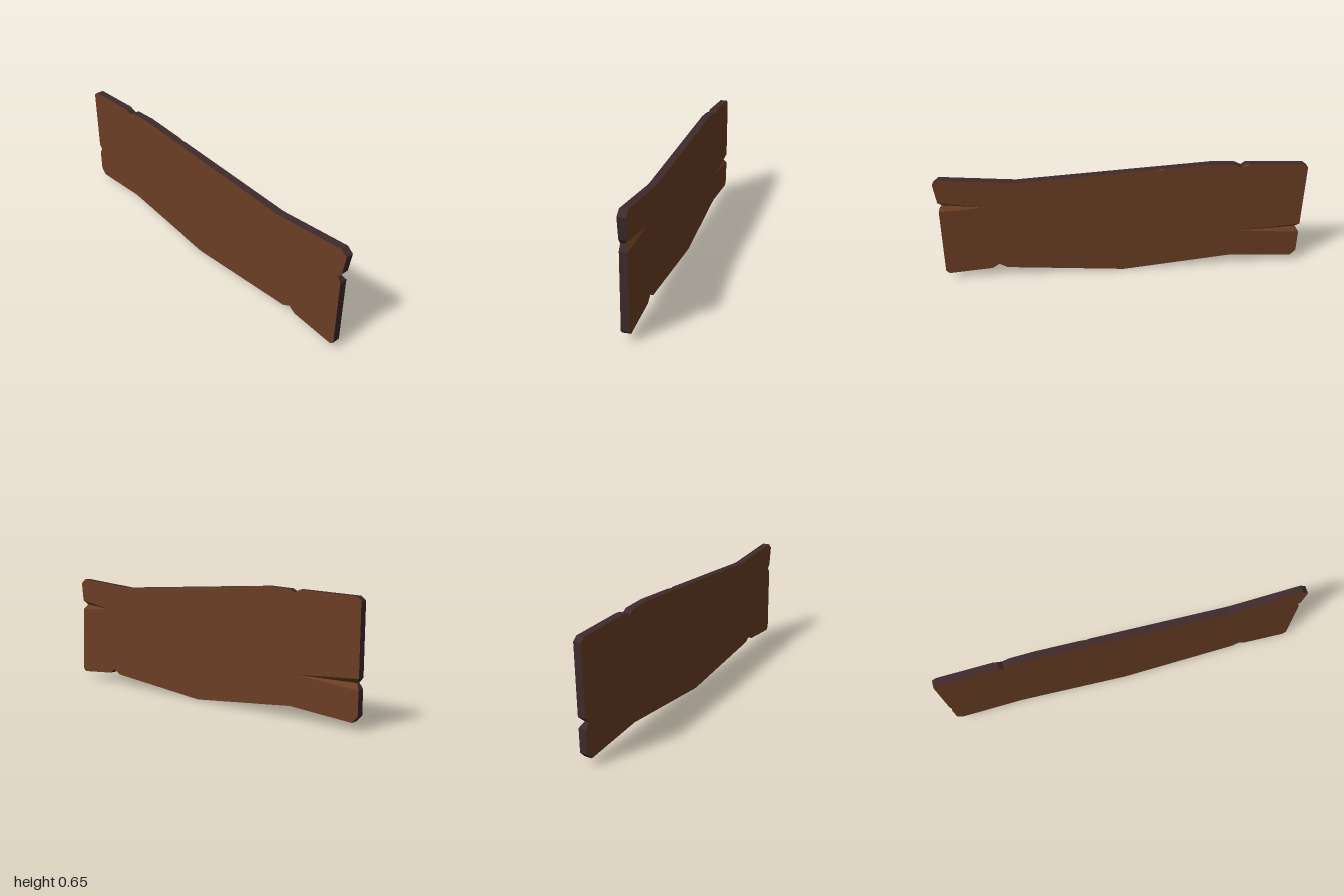
import * as THREE from 'three';

const FRONT = 0.021, BACK = -0.021;

// Counter-clockwise outline. A third value marks a split: the depth where it
// opens, then the x and y of its inner tip on the back face.
const OUTLINE = [
  [-0.97, 0.037], [-0.62, 0.062], [0.0, 0.0], [0.655, 0.057], [0.7, 0.083], [0.74, 0.057],
  [0.98, 0.037], [0.998, 0.055], [0.987, 0.44], [0.967, 0.47, 0, 0.74, 0.455], [0.987, 0.495],
  [1, 0.603], [0.967, 0.63], [0.57, 0.595], [-0.18, 0.637], [-0.2, 0.638, -0.011, -0.2, 0.63],
  [-0.22, 0.639], [-0.47, 0.653], [-0.6, 0.646], [-0.635, 0.628],
  [-0.66, 0.645, -0.012, -0.655, 0.632], [-0.68, 0.644], [-0.975, 0.63], [-1, 0.61],
  [-1, 0.25], [-0.98, 0.225, 0, -0.645, 0.225], [-1, 0.195], [-1, 0.07],
];

// Flat-sided geometry from a list of triangle corners
function facets(points) {
  const geometry = new THREE.BufferGeometry();
  geometry.setAttribute('position', new THREE.Float32BufferAttribute(points.flat(), 3));
  geometry.computeVertexNormals();
  return geometry;
}

function face(points) {
  return new THREE.ShapeGeometry(new THREE.Shape(points.map(([x, y]) => new THREE.Vector2(x, y))));
}

export function createModel() {
  const wood = new THREE.MeshStandardMaterial({ color: 0x6b3e24 });
  wood.name = 'brown wood';
  const bark = new THREE.MeshStandardMaterial({ color: 0x3e2a2c });
  bark.name = 'dark edge wood';

  const group = new THREE.Group();
  group.name = 'plank';
  const add = (name, geometry, material) => {
    const mesh = new THREE.Mesh(geometry, material);
    mesh.name = name;
    group.add(mesh);
  };

  // Broad front and back faces; the back is cut in by the splits
  add('frontFace', face(OUTLINE).translate(0, 0, FRONT), wood);
  const back = face(OUTLINE.map((p) => (p.length > 2 ? [p[3], p[4]] : p)));
  back.rotateY(Math.PI).scale(-1, 1, 1).translate(0, 0, BACK);
  // Turn the face towards the back
  const n = back.attributes.normal;
  for (let i = 0; i < n.count; i++) n.setXYZ(i, 0, 0, -1);
  const index = Array.from(back.index.array);
  for (let i = 0; i < index.length; i += 3) [index[i], index[i + 1]] = [index[i + 1], index[i]];
  back.setIndex(index);
  add('backFace', back, wood);

  // Dark rim around the plank, and the bare wood inside each split
  const rim = [], splits = [];
  OUTLINE.forEach((p, i) => {
    const q = OUTLINE[(i + 1) % OUTLINE.length];
    const f = ([x, y]) => [x, y, FRONT];
    const b = ([x, y, z = BACK]) => [x, y, z];
    rim.push(f(p), b(p), b(q), f(p), b(q), f(q));
    if (p.length > 2) {
      const before = OUTLINE[i - 1], tip = [p[3], p[4], BACK];
      splits.push(b(before), tip, b(p), b(p), tip, b(q));
    }
  });
  add('rim', facets(rim), bark);
  add('splits', facets(splits), wood);
  return group;
}
